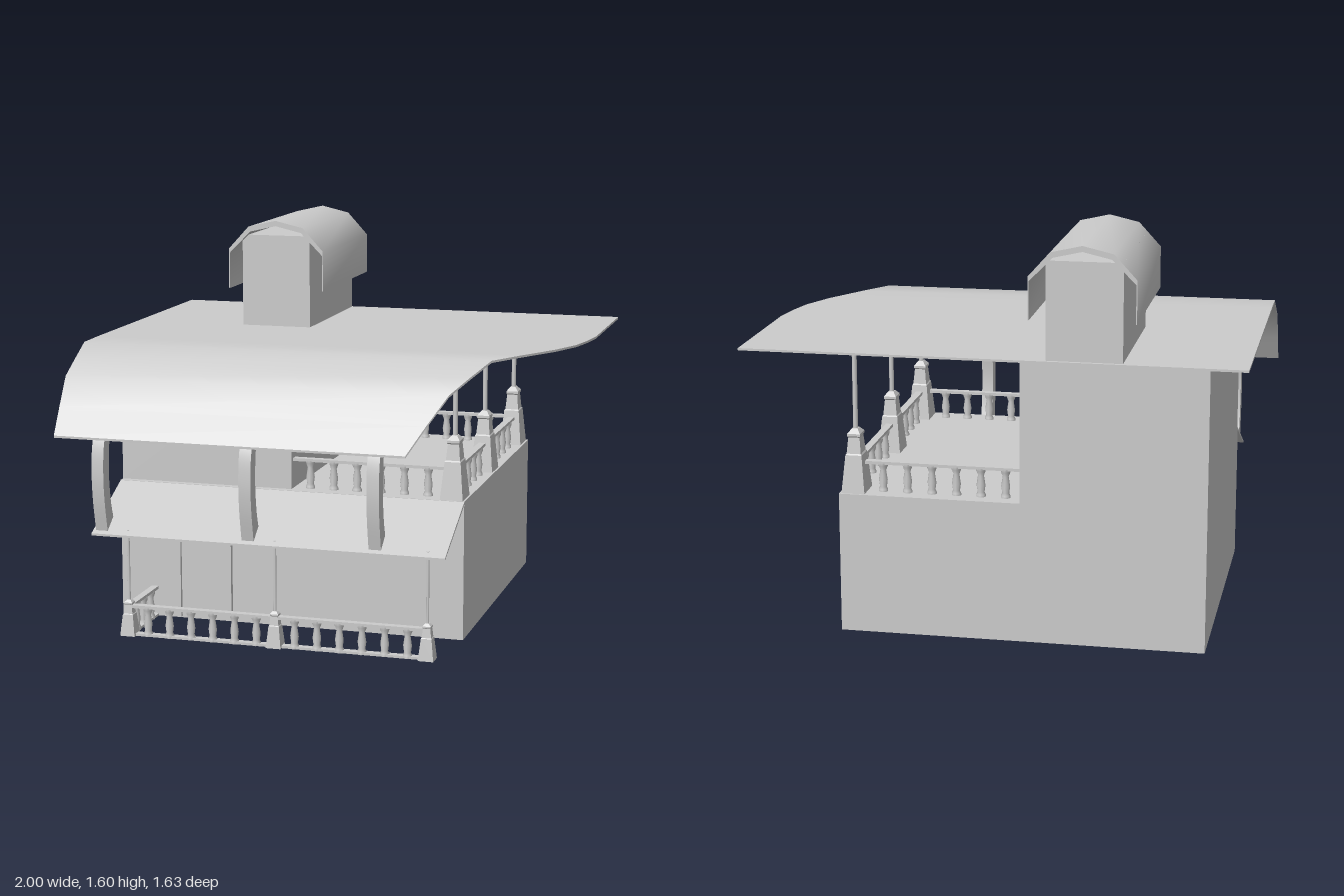
import * as THREE from 'three';
import { toCreasedNormals } from 'three/addons/utils/BufferGeometryUtils.js';

const mat = new THREE.MeshStandardMaterial({ color: 0xcccccc });
const V2 = (pts) => pts.map(([x, y]) => new THREE.Vector2(x, y));

export function createModel() {
  const root = new THREE.Group();

  const add = (name, geo, parent = root) => {
    const m = new THREE.Mesh(geo, mat);
    m.name = name;
    parent.add(m);
    return m;
  };
  // box given by its minimum and maximum corners
  const box = (name, a, b, parent) => {
    const m = add(name, new THREE.BoxGeometry(b[0] - a[0], b[1] - a[1], b[2] - a[2]), parent);
    m.position.set((a[0] + b[0]) / 2, (a[1] + b[1]) / 2, (a[2] + b[2]) / 2);
    return m;
  };
  const extrude = (shape, depth) => new THREE.ExtrudeGeometry(shape, { depth, bevelEnabled: false });

  // house blocks
  box('lowerStorey', [-0.855, 0, -0.8], [0.605, 0.57, 0.473]);
  box('upperStorey', [-0.855, 0.57, -0.8], [-0.122, 1.136, 0.445]);

  // main roof: a thin slab bent over the front, its right edge swept inwards
  const roofRows = [ // z, y, right edge x
    [-0.805, 1.145, 1], [-0.22, 1.145, 1], [-0.1, 1.145, 0.985], [0.02, 1.145, 0.96],
    [0.16, 1.145, 0.9], [0.33, 1.145, 0.8], [0.48, 1.143, 0.71], [0.58, 1.09, 0.648],
    [0.68, 1.035, 0.588], [0.75, 0.922, 0.515], [0.813, 0.815, 0.45],
  ];
  const n = roofRows.length - 1;
  const roof = new THREE.BoxGeometry(1, 1, 1, 1, 1, n);
  const rp = roof.attributes.position;
  for (let i = 0; i < rp.count; i++) {
    const [z, y, xr] = roofRows[Math.round((rp.getZ(i) + 0.5) * n)];
    rp.setXYZ(i, rp.getX(i) < 0 ? -1 : xr, rp.getY(i) > 0 ? y : y - 0.009, z);
  }
  roof.computeVertexNormals();
  add('mainRoof', roof);

  // sloping awning over the porch
  const awning = new THREE.Shape(V2([[0.47, 0.558], [0.795, 0.41], [0.795, 0.419], [0.47, 0.57]]));
  const awningGeo = extrude(awning, 1.46).rotateY(-Math.PI / 2).scale(-1, 1, 1);
  // the mirror turns the faces inside out, so flip their winding
  const flip = (g) => {
    const p = g.attributes.position;
    for (let i = 0; i < p.count; i += 3) {
      const a = new THREE.Vector3().fromBufferAttribute(p, i + 1);
      const b = new THREE.Vector3().fromBufferAttribute(p, i + 2);
      p.setXYZ(i + 1, b.x, b.y, b.z);
      p.setXYZ(i + 2, a.x, a.y, a.z);
    }
    g.computeVertexNormals();
    return g;
  };
  add('awning', flip(awningGeo)).position.x = -0.855;

  // curved brackets between awning and roof
  const bracket = new THREE.Shape();
  bracket.moveTo(0.782, 0.43);
  bracket.splineThru(V2([[0.808, 0.56], [0.815, 0.68], [0.797, 0.8], [0.728, 0.922]]));
  bracket.lineTo(0.722, 0.89);
  bracket.splineThru(V2([[0.748, 0.77], [0.756, 0.66], [0.743, 0.55], [0.72, 0.475]]));
  const bracketGeo = toCreasedNormals(flip(new THREE.ExtrudeGeometry(bracket,
    { depth: 0.05, bevelEnabled: false, curveSegments: 4 }).rotateY(-Math.PI / 2).scale(-1, 1, 1)), 0.6);
  for (const x of [-0.815, -0.198, 0.322]) add('roofBracket', bracketGeo).position.x = x - 0.025;

  // roof turret with arched cover and hanging sides
  const turret = new THREE.Group();
  turret.name = 'turret';
  root.add(turret);
  box('turretBody', [-0.52, 1.13, -0.79], [-0.22, 1.535, -0.138], turret);
  const half = [[0.21, 1.305], [0.21, 1.475], [0.121, 1.572]];
  const inner = [[0.206, 1.305], [0.206, 1.457], [0.113, 1.551]];
  const mirror = (pts) => pts.map(([x, y]) => [-x, y]).reverse();
  const cover = new THREE.Shape(V2([...half, [0, 1.6], ...mirror(half),
    ...mirror(inner).reverse(), [0, 1.577], ...inner.slice().reverse()]));
  const coverGeo = toCreasedNormals(extrude(cover, 0.7), 0.9);
  add('turretRoof', coverGeo, turret).position.set(-0.365, 0, -0.815);

  // doors: raised frame with a recessed leaf
  const door = (name) => {
    const g = new THREE.Group();
    g.name = name;
    const frame = new THREE.Shape(V2([[-0.118, 0], [-0.102, 0], [-0.102, 0.388], [0.102, 0.388],
      [0.102, 0], [0.118, 0], [0.118, 0.405], [-0.118, 0.405]]));
    add('doorFrame', extrude(frame, 0.02), g);
    box('doorLeaf', [-0.102, 0.005, 0], [0.102, 0.388, 0.005], g);
    root.add(g);
    return g;
  };
  door('porchDoor').position.set(-0.487, 0.008, 0.473);
  const terraceDoor = door('terraceDoor');
  terraceDoor.position.set(-0.122, 0.568, -0.517);
  terraceDoor.rotation.y = Math.PI / 2;

  // square stepped pedestal, half width and height profile
  const pedestalGeo = new THREE.LatheGeometry(V2([[0, 0], [0.062, 0], [0.043, 0.155], [0.038, 0.16],
    [0.03, 0.225], [0.034, 0.23], [0.034, 0.24], [0.015, 0.258], [0, 0.258]]
    .map(([r, y]) => [r * Math.SQRT2, y])), 4).rotateY(Math.PI / 4).toNonIndexed();
  pedestalGeo.computeVertexNormals();
  const post = (name, x, y, z, s, top, r) => {
    const g = new THREE.Group();
    g.name = name;
    g.position.set(x, y, z);
    add('pedestal', pedestalGeo, g).scale.set(...s);
    const h = top - y - 0.1;
    add('pole', new THREE.CylinderGeometry(r, r, h, 8), g).position.y = 0.1 + h / 2;
    root.add(g);
  };

  // turned balusters under a flat handrail
  const balusterGeo = new THREE.LatheGeometry(V2([[0.019, 0], [0.019, 0.012], [0.014, 0.022],
    [0.018, 0.05], [0.012, 0.09], [0.019, 0.108], [0.019, 0.12]]), 8);
  const railing = (name, a, b, y, count, width, footRail) => {
    const g = new THREE.Group();
    g.name = name;
    const [dx, dz] = [b[0] - a[0], b[1] - a[1]];
    const len = Math.hypot(dx, dz);
    g.position.set(a[0], y, a[1]);
    g.rotation.y = Math.atan2(-dz, dx);
    box('handrail', [0, 0.115, -width / 2], [len, 0.127, width / 2], g);
    if (footRail) box('footRail', [0, 0, -width / 2], [len, 0.01, width / 2], g);
    const gap = len / (count + 0.4);
    for (let i = 0; i < count; i++) add('baluster', balusterGeo, g).position.x = gap * (i + 0.7);
    root.add(g);
  };

  // terrace
  const tz = [0.405, -0.14, -0.73];
  for (const z of tz) post('terracePost', 0.55, 0.567, z, [0.76, 1, 1], 1.138, 0.01);
  for (let i = 0; i < 2; i++)
    railing('terraceSideRailing', [0.55, tz[i] - 0.05], [0.55, tz[i + 1] + 0.05], 0.567, 4, 0.03, false);
  railing('terraceFrontRailing', [-0.122, tz[0]], [0.51, tz[0]], 0.567, 6, 0.03, false);
  railing('terraceBackRailing', [-0.122, tz[2]], [0.51, tz[2]], 0.567, 6, 0.03, false);

  // porch
  const px = [-0.71, -0.092, 0.53];
  for (const x of px) post('porchPost', x, 0, 0.762, [0.5, 0.57, 0.5], 0.434, 0.006);
  for (let i = 0; i < 2; i++)
    railing('porchFrontRailing', [px[i] + 0.015, 0.762], [px[i + 1] - 0.015, 0.762], 0, 6, 0.03, true);
  railing('porchSideRailing', [px[0], 0.747], [px[0], 0.473], 0, 3, 0.03, true);

  return root;
}
